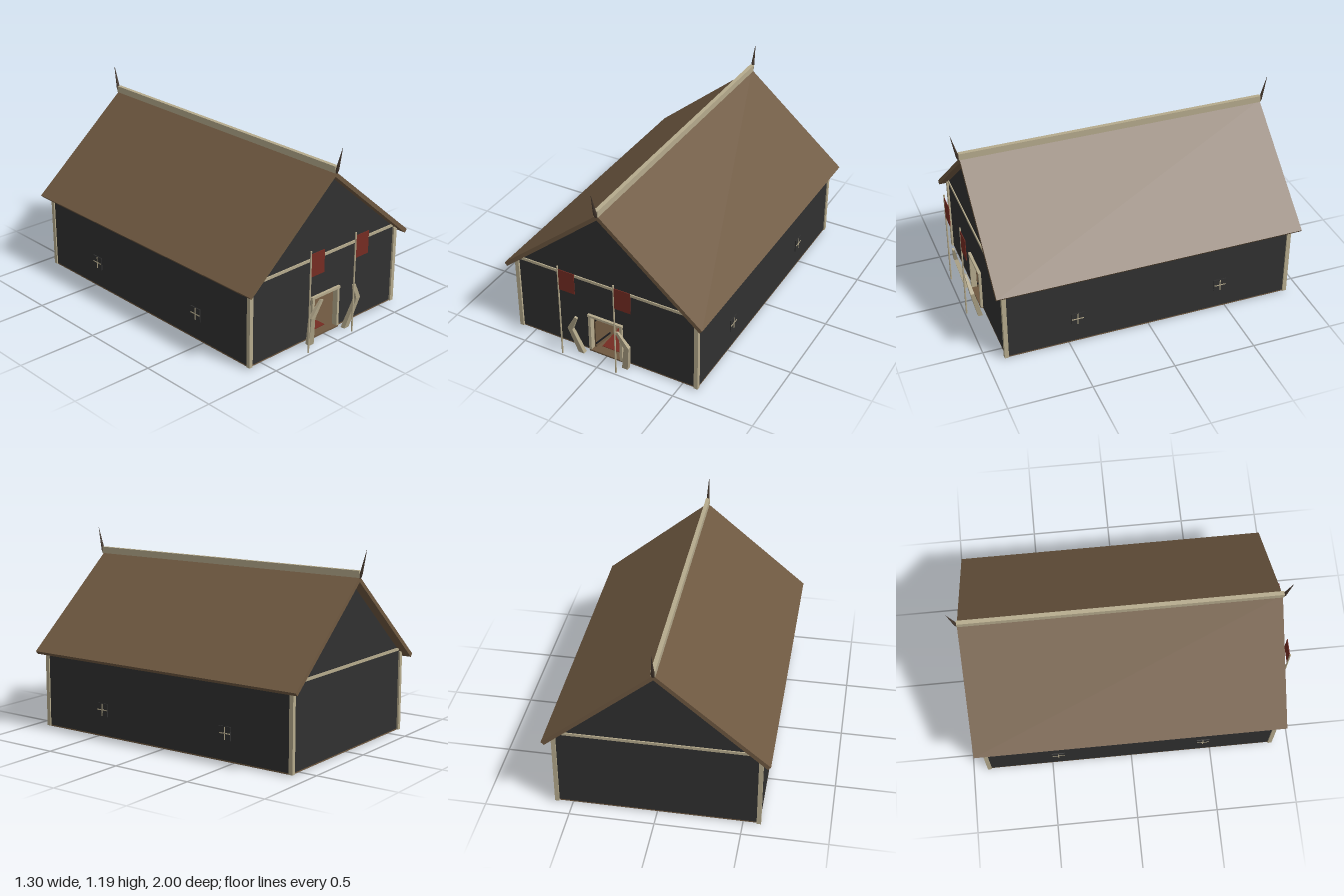
import * as THREE from 'three';

const mat = (name, color, extra = {}) => {
  const m = new THREE.MeshStandardMaterial({ color, ...extra });
  m.name = name;
  return m;
};

export function createModel() {
  const root = new THREE.Group();
  root.name = 'hall';
  const wall = mat('charcoal wall', 0x303030);
  const wood = mat('roof brown', 0x6e5840);
  const trim = mat('pale timber', 0xb5aa8c);
  const dark = mat('dark wood', 0x44372d);
  const red = mat('banner red', 0x752c22);
  const black = mat('black iron', 0x1c1c1e);

  const add = (name, geo, m, parent = root) => {
    const mesh = new THREE.Mesh(geo, m);
    mesh.name = name;
    parent.add(mesh);
    return mesh;
  };
  // box from its minimum and maximum corners
  const box = (name, m, x0, x1, y0, y1, z0, z1, parent = root) => {
    const b = add(name, new THREE.BoxGeometry(x1 - x0, y1 - y0, z1 - z0), m, parent);
    b.position.set((x0 + x1) / 2, (y0 + y1) / 2, (z0 + z1) / 2);
    return b;
  };
  const poly = pts => new THREE.Shape(pts.map(p => new THREE.Vector2(...p)));

  const front = 0.885, back = -0.9, half = 0.597, eave = 0.49, apex = 0.992;

  // floor and side walls
  box('floor', wood, -half, half, 0.008, 0.016, back, front);
  for (const s of [-1, 1]) {
    box('sideWall', wall, s > 0 ? half - 0.015 : -half, s > 0 ? half : -half + 0.015, 0.016, eave, back, front);
  }

  // gable walls, the front one with a doorway
  for (const isFront of [true, false]) {
    const shape = poly([[-half, 0.016], [half, 0.016], [half, eave], [0, apex], [-half, eave]]);
    if (isFront) {
      shape.holes.push(new THREE.Path([[-0.1, 0.017], [-0.1, 0.265], [0.1, 0.265], [0.1, 0.017]]
        .map(p => new THREE.Vector2(...p))));
    }
    const g = new THREE.ExtrudeGeometry(shape, { depth: 0.015, bevelEnabled: false });
    add(isFront ? 'frontGable' : 'backGable', g, wall).position.z = isFront ? front - 0.015 : back;
  }

  // roof slopes
  for (const s of [-1, 1]) {
    const pts = [[0, 1.026], [0, 0.995], [s * 0.633, 0.461], [s * 0.65, 0.48]];
    const g = new THREE.ExtrudeGeometry(poly(pts), { depth: 1.892, bevelEnabled: false });
    add('roofSlope', g, wood).position.z = -0.956;
  }

  // ridge beam and leaning spikes at both ends
  box('ridgeBeam', trim, -0.0125, 0.0125, 1.02, 1.06, -0.957, 0.942);
  for (const s of [-1, 1]) {
    const pts = [[0, 1.015], [0.008, 1.018], [0.0115, 1.04], [0.0085, 1.08], [0.0045, 1.135], [0, 1.188]];
    const g = new THREE.LatheGeometry(pts.map(p => new THREE.Vector2(...p)), 6);
    const p = g.attributes.position;
    for (let i = 0; i < p.count; i++) {
      const t = (p.getY(i) - 1.015) / 0.173;
      p.setZ(i, p.getZ(i) * 0.8 + s * 0.042 * t);
    }
    g.computeVertexNormals();
    add('ridgeSpike', g, dark).position.z = s > 0 ? 0.941 : -0.957;
  }

  // corner posts and cross beams
  for (const x of [-0.592, 0.592]) {
    for (const z of [0.884, -0.899]) {
      box('cornerPost', trim, x - 0.0125, x + 0.0125, 0.01, 0.497, z - 0.0125, z + 0.0125);
    }
  }
  box('frontBeam', trim, -0.575, 0.575, 0.505, 0.522, front - 0.005, front + 0.007);
  box('backBeam', trim, -0.575, 0.575, 0.505, 0.522, back - 0.007, back + 0.005);

  // side windows: dark pane with a thin cross
  for (const s of [-1, 1]) {
    for (const z of [0.447, -0.457]) {
      const w = new THREE.Group();
      w.name = 'window';
      box('pane', wall, -0.003, 0.003, -0.04, 0.04, -0.04, 0.04, w);
      box('mullion', trim, -0.005, 0.005, -0.037, 0.037, -0.003, 0.003, w);
      box('crossbar', trim, -0.005, 0.005, -0.003, 0.003, -0.037, 0.037, w);
      w.position.set(s * (half + 0.003), 0.173, z);
      root.add(w);
    }
  }

  // door frame
  for (const x of [-0.104, 0.104]) box('doorJamb', trim, x - 0.0085, x + 0.0085, 0.016, 0.265, 0.865, 0.9);
  box('doorLintel', trim, -0.116, 0.116, 0.26, 0.275, 0.865, 0.902);
  box('threshold', wood, -0.11, 0.11, 0.01, 0.02, 0.865, 0.9);

  // door leaf standing open, with iron hinges
  const door = new THREE.Group();
  door.name = 'door';
  box('doorLeaf', wood, 0, 0.01, 0.02, 0.26, -0.17, 0, door);
  for (const y of [0.05, 0.22]) box('hinge', black, 0.01, 0.014, y - 0.006, y + 0.006, -0.12, 0, door);
  door.position.set(-0.095, 0, 0.865);
  door.rotation.y = -0.18;
  root.add(door);

  // interior: carpet, dais and high seat
  box('carpet', red, -0.06, 0.06, 0.016, 0.019, -0.5, 0.84);
  box('dais', wall, -0.35, 0.35, 0.016, 0.06, -0.85, -0.5);
  box('seatBack', wood, -0.065, 0.06, 0.06, 0.32, -0.8, -0.78);
  box('seatBase', wood, -0.055, 0.055, 0.06, 0.108, -0.78, -0.66);
  box('seatCushion', red, -0.05, 0.05, 0.108, 0.117, -0.78, -0.655);

  // bent timbers flanking the door, tapering upward
  const rings = [[0.148, 0.0, 0.918, 0.019], [0.188, 0.2, 0.966, 0.016], [0.134, 0.308, 0.986, 0.009]];
  for (const s of [-1, 1]) {
    const pos = [], idx = [];
    for (const [x, y, z, r] of rings) {
      for (const [a, b] of [[-1, -1], [1, -1], [1, 1], [-1, 1]]) {
        pos.push(s * (x + a * r), y + (y > 0 ? a * 0.003 : 0), z + b * r * 0.75);
      }
    }
    const quad = (a, b, c, d) => (s > 0 ? idx.push(a, c, b, a, d, c) : idx.push(a, b, c, a, c, d));
    for (let k = 0; k < 2; k++) {
      for (let j = 0; j < 4; j++) {
        const n = (j + 1) % 4;
        quad(k * 4 + j, k * 4 + n, k * 4 + 4 + n, k * 4 + 4 + j);
      }
    }
    quad(3, 2, 1, 0);
    quad(8, 9, 10, 11);
    // the ring order winds inward for this axis, so flip every face
    for (let i = 0; i < idx.length; i += 3) [idx[i + 1], idx[i + 2]] = [idx[i + 2], idx[i + 1]];
    let g = new THREE.BufferGeometry();
    g.setAttribute('position', new THREE.Float32BufferAttribute(pos, 3));
    g.setIndex(idx);
    g = g.toNonIndexed();
    g.computeVertexNormals();
    // make sure the faces look outward whichever side is mirrored
    const p = g.attributes.position, v = new THREE.Vector3(), w = new THREE.Vector3(), u = new THREE.Vector3();
    let vol = 0;
    for (let i = 0; i < p.count; i += 3) {
      v.fromBufferAttribute(p, i);
      w.fromBufferAttribute(p, i + 1);
      u.fromBufferAttribute(p, i + 2);
      vol += v.dot(w.cross(u));
    }
    if (vol < 0) {
      for (let i = 0; i < p.count; i += 3) {
        v.fromBufferAttribute(p, i + 1);
        w.fromBufferAttribute(p, i + 2);
        p.setXYZ(i + 1, w.x, w.y, w.z);
        p.setXYZ(i + 2, v.x, v.y, v.z);
      }
      g.computeVertexNormals();
    }
    add('bentTimber', g, trim);
  }

  // banners on poles
  for (const x of [-0.238, 0.126]) {
    const pole = add('bannerPole', new THREE.CylinderGeometry(0.005, 0.005, 0.63, 8), trim);
    pole.position.set(x, 0.325, 0.993);
    box('banner', red, x + 0.004, x + 0.108, 0.48, 0.62, 0.991, 0.995);
  }

  return root;
}
